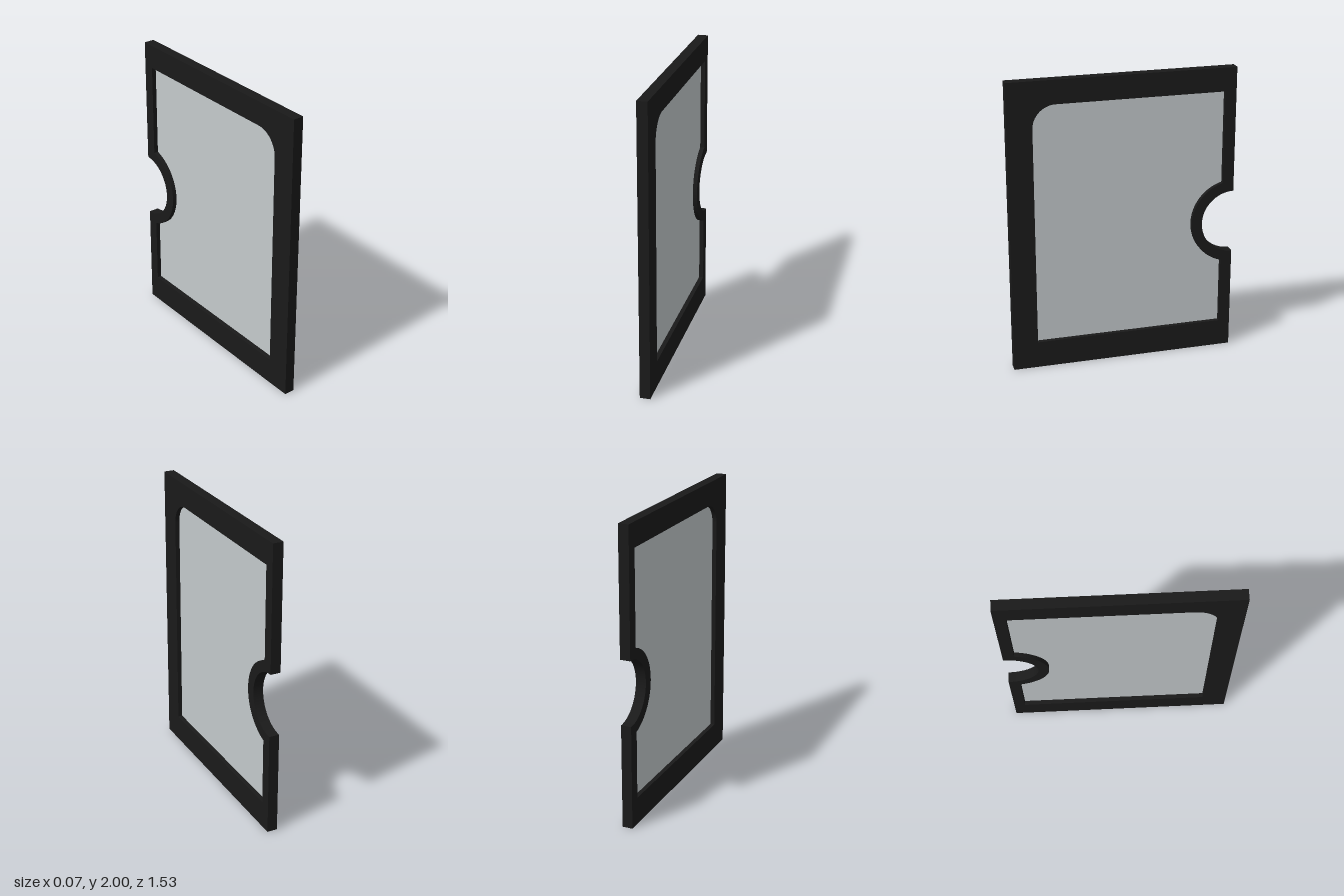
import * as THREE from 'three';
import { toCreasedNormals } from 'three/addons/utils/BufferGeometryUtils.js';

const HALF = 0.767, HEIGHT = 2, THICK = 0.07;
const NOTCH = { u: HALF, y: 0.925, r: 0.218, rim: 0.29 };

// Outer board outline with the half-round notch in its rear edge (u = -z)
function boardOutline() {
  const s = new THREE.Shape();
  s.moveTo(-HALF, 0);
  s.lineTo(HALF, 0);
  s.lineTo(HALF, NOTCH.y - NOTCH.r);
  s.absarc(NOTCH.u, NOTCH.y, NOTCH.r, -Math.PI / 2, Math.PI / 2 - 2 * Math.PI, true);
  s.lineTo(HALF, HEIGHT);
  s.lineTo(-HALF, HEIGHT);
  s.closePath();
  return s;
}

// Window outline: one rounded corner, and a curve following the notch rim
function windowOutline() {
  const left = -0.6, right = 0.69, bottom = 0.185, top = 1.84, r = 0.155;
  const a = Math.acos((right - NOTCH.u) / NOTCH.rim);
  const s = new THREE.Shape();
  s.moveTo(left, bottom);
  s.lineTo(right, bottom);
  s.absarc(NOTCH.u, NOTCH.y, NOTCH.rim, -a, a - 2 * Math.PI, true);
  s.lineTo(right, top);
  s.lineTo(left + r, top);
  s.absarc(left + r, top - r, r, Math.PI / 2, Math.PI, false);
  s.closePath();
  return s;
}

// Extrudes an outline into a slab centred on x = 0
function slab(name, shape, depth, color) {
  let geo = new THREE.ExtrudeGeometry(shape, { depth, bevelEnabled: false, curveSegments: 32 });
  geo.translate(0, 0, -depth / 2);
  geo.rotateY(Math.PI / 2);
  geo = toCreasedNormals(geo, Math.PI / 6);
  const mesh = new THREE.Mesh(geo, new THREE.MeshStandardMaterial({ color }));
  mesh.name = name;
  return mesh;
}

export function createModel() {
  const group = new THREE.Group();
  group.name = 'glazedDoor';

  // Dark frame with the window cut through it
  const board = boardOutline();
  board.holes.push(windowOutline());
  group.add(slab('frame', board, THICK, 0x1a1a1a));

  // Thin pane set in the middle of the frame
  group.add(slab('pane', windowOutline(), 0.01, 0xc4cacc));
  return group;
}
